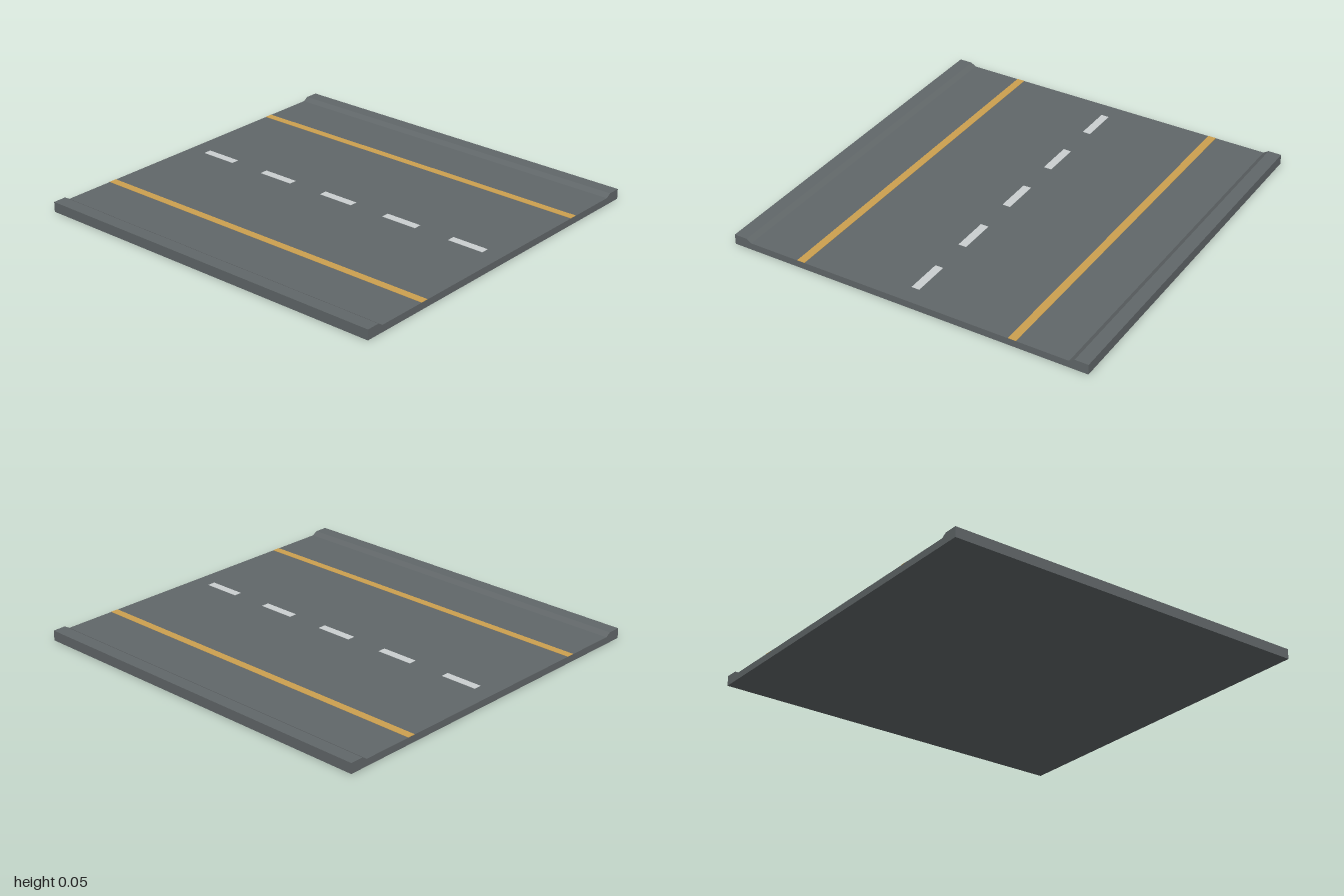
import * as THREE from 'three';

const LENGTH = 2, HALF_WIDTH = 0.965, ROAD_Y = 0.036, KERB_Y = 0.053;

export function createModel() {
  const group = new THREE.Group();
  const asphalt = new THREE.MeshStandardMaterial({ color: 0x616769 });
  const yellowPaint = new THREE.MeshStandardMaterial({ color: 0xcca050 });
  const whitePaint = new THREE.MeshStandardMaterial({ color: 0xcbd0d1 });

  // Road slab: cross-section with a raised, bevelled kerb on both edges
  const half = [[HALF_WIDTH, 0], [HALF_WIDTH, KERB_Y], [0.895, KERB_Y], [0.868, ROAD_Y]];
  const mirrored = half.map(([z, y]) => [-z, y]).reverse();
  const section = new THREE.Shape([...half, ...mirrored].map(([z, y]) => new THREE.Vector2(z, y)));
  const slabGeometry = new THREE.ExtrudeGeometry(section, { depth: LENGTH, bevelEnabled: false });
  slabGeometry.translate(0, 0, -LENGTH / 2).rotateY(Math.PI / 2);
  const slab = new THREE.Mesh(slabGeometry, asphalt);
  slab.name = 'roadSlab';
  group.add(slab);

  // Painted markings lie as thin plates on the road surface
  function addMarking(name, length, x, z, material) {
    const mesh = new THREE.Mesh(new THREE.BoxGeometry(length, 0.002, 0.042), material);
    mesh.name = name;
    mesh.position.set(x, ROAD_Y + 0.0005, z);
    group.add(mesh);
  }

  // Solid edge lines
  addMarking('leftEdgeLine', LENGTH, 0, -0.577, yellowPaint);
  addMarking('rightEdgeLine', LENGTH, 0, 0.577, yellowPaint);

  // Dashed centre line
  for (let i = -2; i <= 2; i++) addMarking(`centreDash${i + 3}`, 0.2, i * 0.4, 0, whitePaint);

  return group;
}
